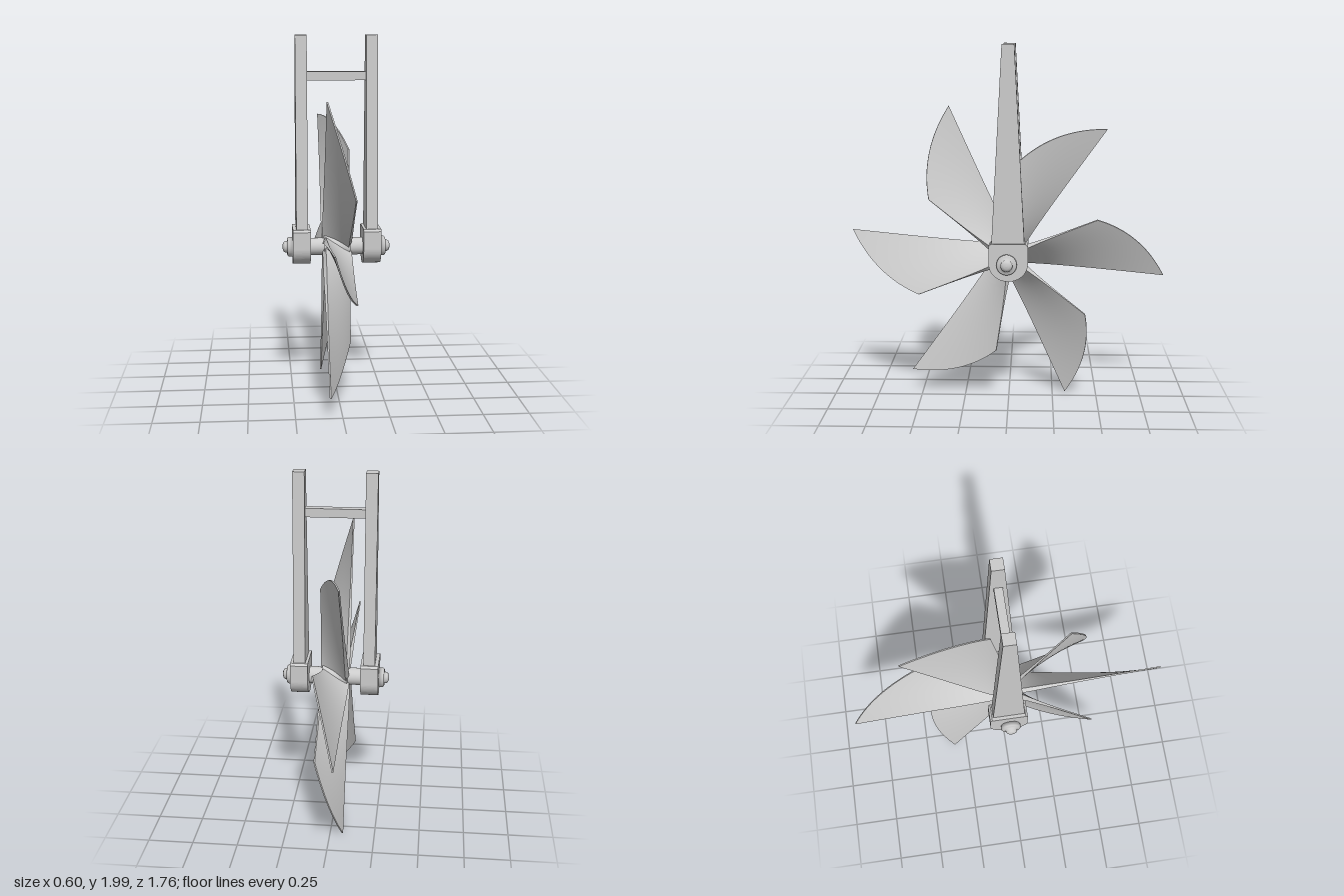
import * as THREE from 'three';

const mat = new THREE.MeshStandardMaterial({ color: 0xcccccc });
const AXIS_Y = 0.833, AXIS_Z = 0.006;

function add(parent, name, geometry, x = 0, y = 0, z = 0) {
  const mesh = new THREE.Mesh(geometry, mat);
  mesh.name = name;
  mesh.position.set(x, y, z);
  parent.add(mesh);
  return mesh;
}

// Middle surface of one blade: u runs from hub to tip, v from the pointed edge to the short edge
function bladePoint(u, v) {
  const lead = new THREE.Vector3(-0.07, 0.04 + 0.088 * u, 0.03 + 0.85 * u);
  const trail = new THREE.Vector3(0.075, -0.034 - 0.18 * u, 0.03 + 0.466 * u);
  const bulge = 4 * v * (1 - v) * u;
  const p = lead.lerp(trail, v);
  p.y -= 0.042 * bulge;
  p.z += 0.03 * bulge;
  return p;
}

// A thin slab bent onto the blade surface, thicker at the root
function bladeGeometry() {
  const g = new THREE.BoxGeometry(1, 1, 1, 16, 1, 16);
  const pos = g.attributes.position;
  const e = 0.001;
  for (let i = 0; i < pos.count; i++) {
    const u = pos.getX(i) + 0.5, v = pos.getZ(i) + 0.5;
    const p = bladePoint(u, v);
    const du = bladePoint(u + e, v).sub(p);
    const dv = bladePoint(u, v + e).sub(p);
    const normal = dv.cross(du).normalize();
    const thickness = 0.008 + 0.03 * Math.pow(1 - u, 3);
    p.addScaledVector(normal, pos.getY(i) * thickness);
    pos.setXYZ(i, p.x, p.y, p.z);
  }
  g.computeVertexNormals();
  return g;
}

// Bearing block: flat top, round bottom, extruded along x
function bearingGeometry(width) {
  const r = 0.106;
  const s = new THREE.Shape();
  s.moveTo(r, 0);
  s.lineTo(r, 0.095);
  s.lineTo(r - 0.012, 0.107);
  s.lineTo(-r + 0.012, 0.107);
  s.lineTo(-r, 0.095);
  s.lineTo(-r, 0);
  s.absellipse(0, 0, r, 0.098, Math.PI, Math.PI * 2, false);
  const g = new THREE.ExtrudeGeometry(s, { depth: width, bevelEnabled: false, curveSegments: 20 });
  return g.translate(0, 0, -width / 2).rotateY(Math.PI / 2);
}

// Tapered arm, narrowing in z towards the top
function armGeometry() {
  const g = new THREE.BoxGeometry(0.064, 1.08, 1);
  const pos = g.attributes.position;
  for (let i = 0; i < pos.count; i++) {
    pos.setZ(i, Math.sign(pos.getZ(i)) * (pos.getY(i) > 0 ? 0.033 : 0.09));
  }
  g.computeVertexNormals();
  return g;
}

// Nut with a domed bolt end, turned about x
function boltGeometry() {
  const profile = [[0, 0], [0.055, 0], [0.055, 0.024], [0.048, 0.031], [0.032, 0.031],
    [0.032, 0.042], [0.026, 0.051], [0.014, 0.056], [0, 0.057]];
  const pts = profile.map(([r, h]) => new THREE.Vector2(r, h));
  return new THREE.LatheGeometry(pts, 28).rotateZ(-Math.PI / 2);
}

export function createModel() {
  const model = new THREE.Group();
  model.name = 'forkMountedPropeller';

  // Six-bladed propeller
  const propeller = new THREE.Group();
  propeller.name = 'propeller';
  propeller.position.set(0, AXIS_Y, AXIS_Z);
  model.add(propeller);
  const blade = bladeGeometry();
  for (let i = 0; i < 6; i++) {
    add(propeller, 'blade' + (i + 1), blade).rotation.x = (i * Math.PI) / 3;
  }
  add(propeller, 'hub', new THREE.CylinderGeometry(0.064, 0.064, 0.143, 28).rotateZ(Math.PI / 2), 0.0025);
  add(propeller, 'axle', new THREE.CylinderGeometry(0.048, 0.048, 0.32, 28).rotateZ(Math.PI / 2));

  // Mirrored fork sides
  for (const [side, s] of [['left', 1], ['right', -1]]) {
    add(model, side + 'Bearing', bearingGeometry(0.098), s * 0.195, AXIS_Y + 0.002, -0.002);
    add(model, side + 'Arm', armGeometry(), s * 0.193, 1.46, 0);
    const bolt = add(model, side + 'Bolt', boltGeometry(), s * 0.243, AXIS_Y, AXIS_Z);
    if (s < 0) bolt.rotation.y = Math.PI;
  }

  // Bar joining the arms
  add(model, 'crossbar', new THREE.BoxGeometry(0.34, 0.048, 0.045), 0, 1.78, 0);
  return model;
}
